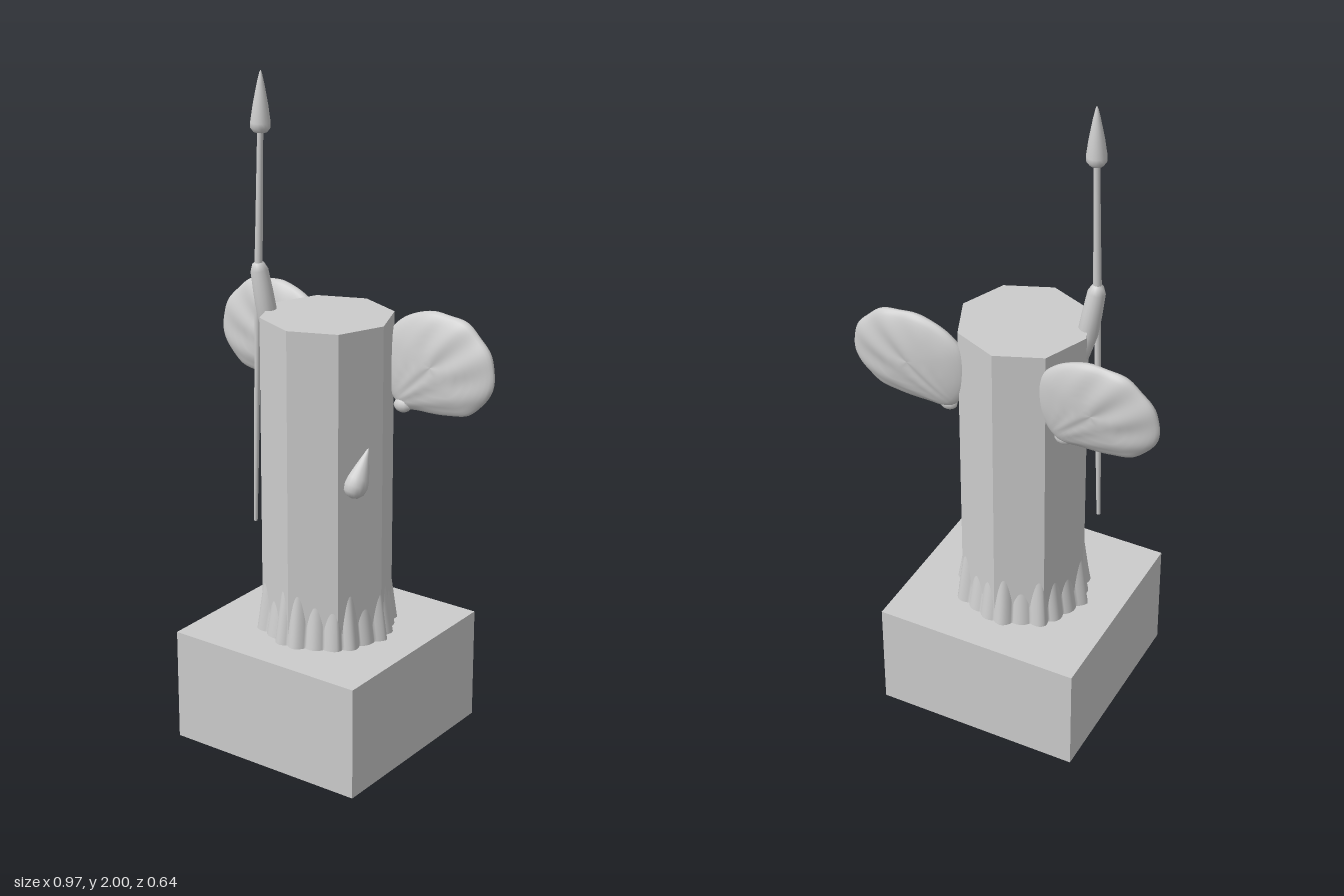
import * as THREE from 'three';

const stone = new THREE.MeshStandardMaterial({ color: 0xcccccc });
stone.name = 'lightGreyStone';

function add(parent, name, geometry, x = 0, y = 0, z = 0) {
  const mesh = new THREE.Mesh(geometry, stone);
  mesh.name = name;
  mesh.position.set(x, y, z);
  parent.add(mesh);
  return mesh;
}

// Grid of rows that each close on themselves, counter-clockwise seen from the end of the rows
function loft(rows, cols, point) {
  const pos = [], idx = [];
  for (let i = 0; i <= rows; i++)
    for (let j = 0; j < cols; j++) pos.push(...point(i / rows, j / cols));
  for (let i = 0; i < rows; i++)
    for (let j = 0; j < cols; j++) {
      const k = (j + 1) % cols, a = i * cols + j, b = i * cols + k;
      idx.push(a, b, b + cols, a, b + cols, a + cols);
    }
  const g = new THREE.BufferGeometry();
  g.setAttribute('position', new THREE.Float32BufferAttribute(pos, 3));
  g.setIndex(idx);
  g.computeVertexNormals();
  return g;
}

// Turned profile ([radius, distance] pairs) laid along the line from a to b
function turned(parent, name, a, b, profile, sides = 16) {
  const from = new THREE.Vector3(...a), dir = new THREE.Vector3(...b).sub(from);
  const len = dir.length();
  const g = new THREE.LatheGeometry(profile.map(([r, t]) => new THREE.Vector2(r, t * len)), sides);
  const mesh = add(parent, name, g, ...a);
  mesh.quaternion.setFromUnitVectors(new THREE.Vector3(0, 1, 0), dir.normalize());
}

// Rough fringe of pointed ridges that fade into the column faces
function fringeGeometry() {
  const ridges = 22;
  return loft(14, 264, (v, u) => {
    const th = u * Math.PI * 2;
    const face = (th % (Math.PI / 4)) - Math.PI / 8;
    const oct = (0.195 * Math.cos(Math.PI / 8)) / Math.cos(face);
    const n = Math.floor(u * ridges);
    const tall = 0.72 + 0.28 * Math.sin(n * 2.4 + 1);
    const ridge = Math.pow(Math.abs(Math.sin(u * ridges * Math.PI)), 0.9);
    const w = 0.32 + 0.68 * tall * ridge;
    const r = THREE.MathUtils.lerp(oct, 0.187, 0.4 * (1 - v)) + Math.max(-0.012, 0.026 * (w - v));
    return [r * Math.sin(th), 0.343 + 0.165 * v, r * Math.cos(th)];
  });
}

// Lens-shaped fan with ribs spreading from its root
function fanGeometry() {
  const outline = new THREE.CatmullRomCurve3([
    [0.17, 1.04], [0.25, 1.035], [0.34, 1.04], [0.41, 1.055], [0.46, 1.105], [0.484, 1.18],
    [0.455, 1.255], [0.39, 1.315], [0.29, 1.334], [0.2, 1.315], [0.125, 1.25], [0.115, 1.13],
  ].map(([x, y]) => new THREE.Vector3(x, y, 0)), true);
  const edge = outline.getSpacedPoints(120);
  const cx = 0.29, cy = 1.18;
  return loft(20, 120, (v, u) => {
    const a = (v - 0.5) * Math.PI, p = edge[Math.round(u * 120)];
    const s = Math.cos(a);
    let x = cx + (p.x - cx) * s, y = cy + (p.y - cy) * s;
    const rib = Math.cos(Math.atan2(y - 1.03, x - 0.13) * 22);
    const far = THREE.MathUtils.clamp((x - 0.13) / 0.2, 0, 1);
    const scallop = 1 + 0.012 * rib * s * far;
    x = cx + (x - cx) * scallop;
    y = cy + (y - cy) * scallop;
    return [x, y, -0.13 + 0.039 * Math.sin(a) * (1 + 0.09 * rib * far) - (y - cy) * 0.06];
  });
}

// Opposite-hand copy across x = 0, keeping its faces outward
function mirrored(g) {
  const m = g.clone().scale(-1, 1, 1);
  const ix = m.index.array;
  for (let i = 0; i < ix.length; i += 3) [ix[i], ix[i + 1]] = [ix[i + 1], ix[i]];
  m.computeVertexNormals();
  return m;
}

export function createModel() {
  const model = new THREE.Group();
  model.name = 'fannedColumn';

  add(model, 'base', new THREE.BoxGeometry(0.64, 0.345, 0.64), 0, 0.1725, 0);

  // Eight-sided column
  const column = new THREE.CylinderGeometry(0.195, 0.195, 0.98, 8).toNonIndexed();
  column.computeVertexNormals();
  add(model, 'column', column, 0, 0.82, 0);
  add(model, 'columnFringe', fringeGeometry());

  // Pair of ribbed fans with small knobs at their roots
  const fan = fanGeometry();
  add(model, 'leftFan', fan);
  add(model, 'rightFan', mirrored(fan));
  for (const s of [1, -1]) {
    const knob = add(model, s > 0 ? 'leftFanKnob' : 'rightFanKnob',
      new THREE.SphereGeometry(0.022, 12, 8), s * 0.185, 1.042, -0.115);
    knob.scale.set(1.3, 1, 0.9);
  }

  // Teardrop on the left front face
  turned(model, 'teardrop', [0.16, 0.818, 0.105], [0.178, 0.957, 0.045], [
    [0, 0], [0.018, 0.03], [0.031, 0.12], [0.036, 0.25], [0.033, 0.4],
    [0.023, 0.6], [0.012, 0.8], [0.004, 0.95], [0, 1],
  ], 20);

  // Spear: lower shaft, upper shaft, head and the sleeve that grips it
  const spear = new THREE.Group();
  spear.name = 'spear';
  model.add(spear);
  turned(spear, 'lowerShaft', [-0.215, 0.642, 0.068], [-0.195, 1.4, 0.068],
    [[0, 0], [0.006, 0.005], [0.008, 0.3], [0.01, 1]], 10);
  turned(spear, 'upperShaft', [-0.195, 1.38, 0.068], [-0.184, 1.84, 0.065],
    [[0.013, 0], [0.011, 0.4], [0.009, 1]], 10);
  turned(spear, 'spearHead', [-0.184, 1.822, 0.065], [-0.181, 2, 0.065],
    [[0, 0], [0.02, 0.02], [0.029, 0.09], [0.029, 0.17], [0.022, 0.45], [0.011, 0.78], [0.004, 0.95], [0, 1]]);
  turned(spear, 'sleeve', [-0.162, 1.2, 0.045], [-0.197, 1.455, 0.068],
    [[0, 0], [0.018, 0.05], [0.03, 0.35], [0.029, 0.6], [0.026, 0.88], [0.017, 0.96], [0, 1]]);

  return model;
}
